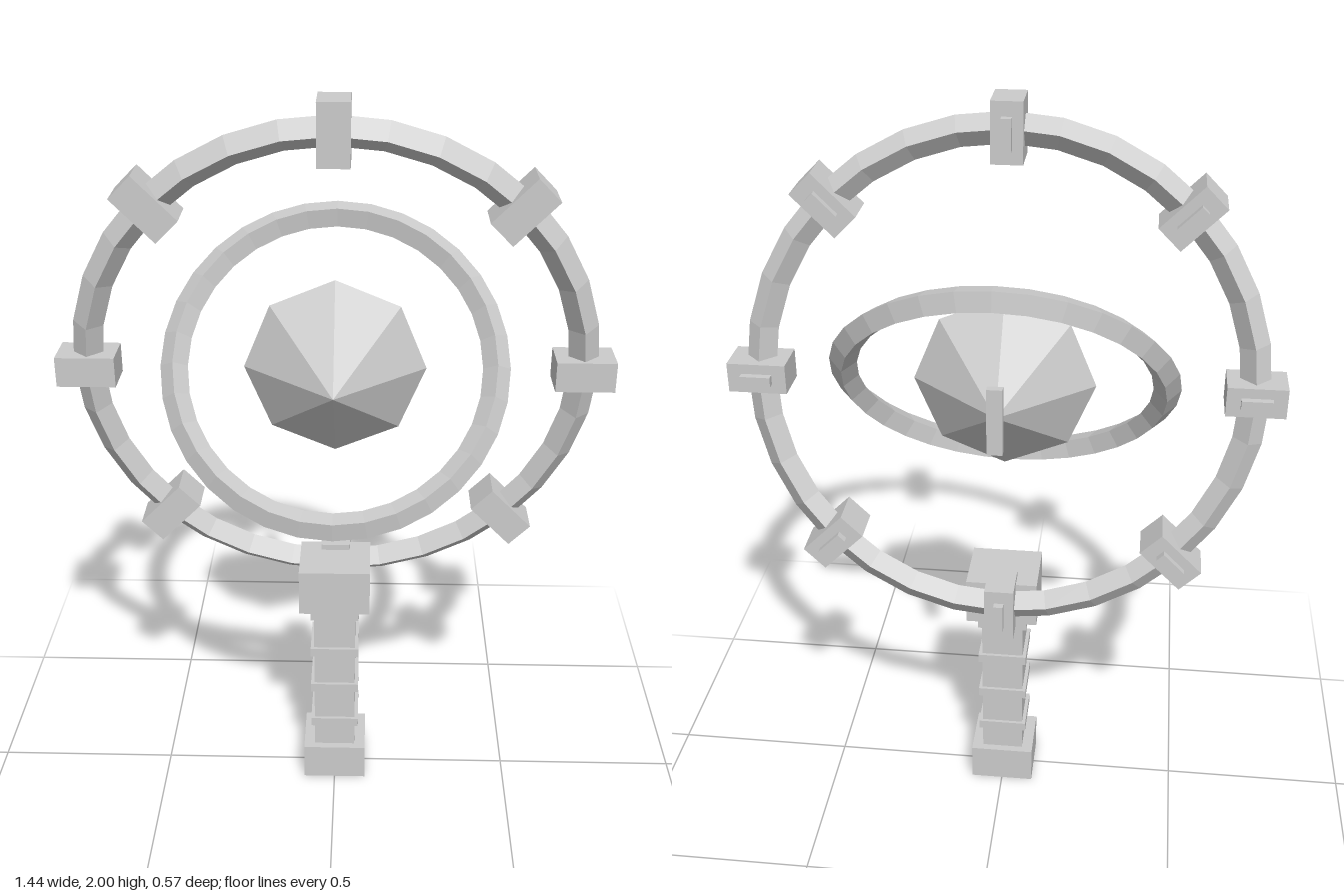
import * as THREE from 'three';

const CENTER_Y = 1.286;
const RING_TILT = 0.15;
const RING_RADIUS = 0.645;

export function createModel() {
  const model = new THREE.Group();
  model.name = 'ringedGemWand';
  const material = new THREE.MeshStandardMaterial({ color: 0xcccccc, flatShading: true });

  const add = (parent, name, geometry, x = 0, y = 0, z = 0) => {
    const mesh = new THREE.Mesh(geometry, material);
    mesh.name = name;
    mesh.position.set(x, y, z);
    parent.add(mesh);
    return mesh;
  };
  const box = (parent, name, size, x, y, z) =>
    add(parent, name, new THREE.BoxGeometry(...size), x, y, z);

  // Handle: pommel, grip with four bands, head block
  const handle = new THREE.Group();
  handle.name = 'handle';
  model.add(handle);
  box(handle, 'pommel', [0.178, 0.106, 0.164], 0, 0.053, 0);
  box(handle, 'grip', [0.116, 0.5, 0.122], 0, 0.34, 0);
  for (let i = 0; i < 4; i++) {
    box(handle, 'gripBand', [0.136, 0.026, 0.14], 0, 0.19 + i * 0.122, 0);
  }
  box(handle, 'handleHead', [0.196, 0.132, 0.174], 0, 0.643, 0);

  // Everything above the handle is centred on the gem
  const head = new THREE.Group();
  head.name = 'head';
  head.position.y = CENTER_Y;
  model.add(head);

  // Two diamond-section rings, tilted opposite ways
  add(head, 'outerRing', new THREE.TorusGeometry(RING_RADIUS, 0.039, 4, 32)).rotation.x = RING_TILT;
  add(head, 'innerRing', new THREE.TorusGeometry(0.421, 0.036, 4, 32)).rotation.x = -0.65;

  // Eight upright clasps following the tilted outer ring, each with a back plate
  for (let i = 0; i < 8; i++) {
    const angle = (i * Math.PI) / 4;
    const up = RING_RADIUS * Math.sin(angle);
    const clasp = new THREE.Group();
    clasp.name = 'clasp';
    clasp.position.set(
      RING_RADIUS * Math.cos(angle),
      up * Math.cos(RING_TILT),
      up * Math.sin(RING_TILT)
    );
    clasp.rotation.z = angle;
    head.add(clasp);
    box(clasp, 'claspBlock', [0.154, 0.08, 0.11], 0, 0, 0);
    box(clasp, 'claspPlate', [0.08, 0.026, 0.03], 0, 0, -0.059);
  }

  // Eight-sided double-pointed gem with its points facing front and back
  const gem = new THREE.SphereGeometry(1, 8, 2);
  gem.rotateX(Math.PI / 2);
  gem.scale(0.238, 0.238, 0.208);
  add(head, 'gem', gem);

  // Small upright bar behind the gem
  box(head, 'rearBar', [0.04, 0.18, 0.021], 0, 0, -0.223);

  return model;
}
